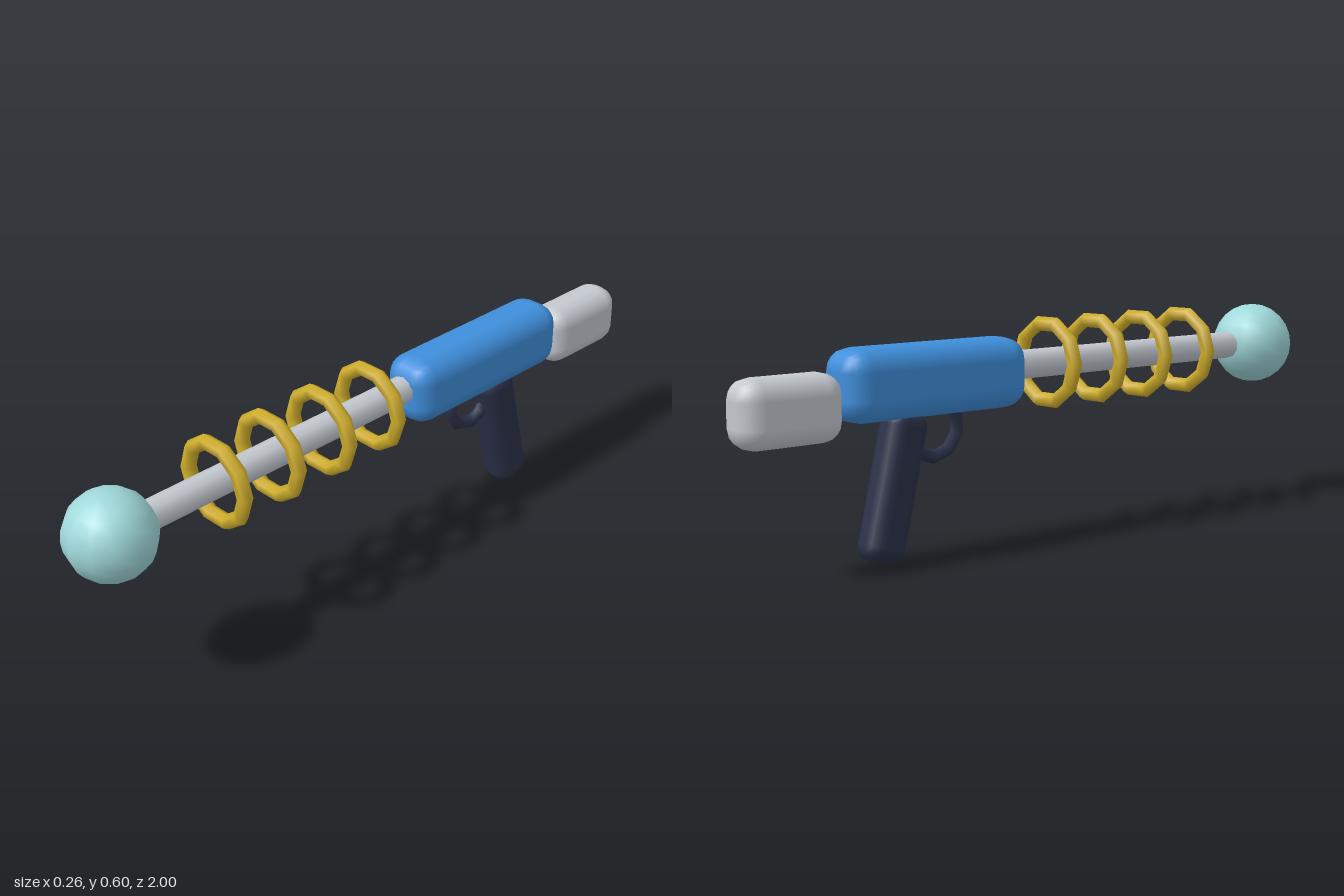
import * as THREE from 'three';
import { RoundedBoxGeometry } from 'three/addons/geometries/RoundedBoxGeometry.js';

const paint = (name, color) => {
  const m = new THREE.MeshStandardMaterial({ color });
  m.name = name;
  return m;
};

export function createModel() {
  const model = new THREE.Group();
  model.name = 'rayBlaster';

  const blue = paint('blue', 0x3f8fdc);
  const silver = paint('silver', 0xc4c9d0);
  const gold = paint('gold', 0xd0ae2c);
  const navy = paint('navy', 0x2a3048);
  const aqua = paint('aqua', 0xa0d8da);

  const add = (name, geometry, material, x, y, z) => {
    const mesh = new THREE.Mesh(geometry, material);
    mesh.name = name;
    mesh.position.set(x, y, z);
    model.add(mesh);
    return mesh;
  };

  // Body and shoulder stock
  add('body', new RoundedBoxGeometry(0.16, 0.19, 0.59, 2, 0.06), blue, 0, 0.467, -0.408);
  add('stock', new RoundedBoxGeometry(0.13, 0.176, 0.296, 2, 0.055), silver, 0, 0.422, -0.852);

  // Barrel running from inside the body to the muzzle ball
  const barrel = new THREE.CylinderGeometry(0.04, 0.04, 0.93, 10).rotateX(Math.PI / 2);
  add('barrel', barrel, silver, 0, 0.48, 0.3);
  add('muzzleBall', new THREE.SphereGeometry(0.12, 12, 12), aqua, 0, 0.48, 0.88);

  // Coil rings around the barrel
  const ring = new THREE.TorusGeometry(0.11, 0.021, 6, 10);
  for (let i = 0; i < 4; i++) {
    add(`coilRing${i + 1}`, ring, gold, 0, 0.48, 0.55 - i * 0.18);
  }

  // Grip, leaning back
  const grip = add('grip', new RoundedBoxGeometry(0.1, 0.4, 0.12, 2, 0.042), navy, 0, 0.199, -0.53);
  grip.rotation.x = 0.24;

  // Trigger guard, lying in the side plane
  const guard = new THREE.TorusGeometry(0.08, 0.019, 6, 10).rotateZ(-Math.PI / 2).rotateY(Math.PI / 2);
  add('triggerGuard', guard, navy, 0, 0.34, -0.394);

  return model;
}
